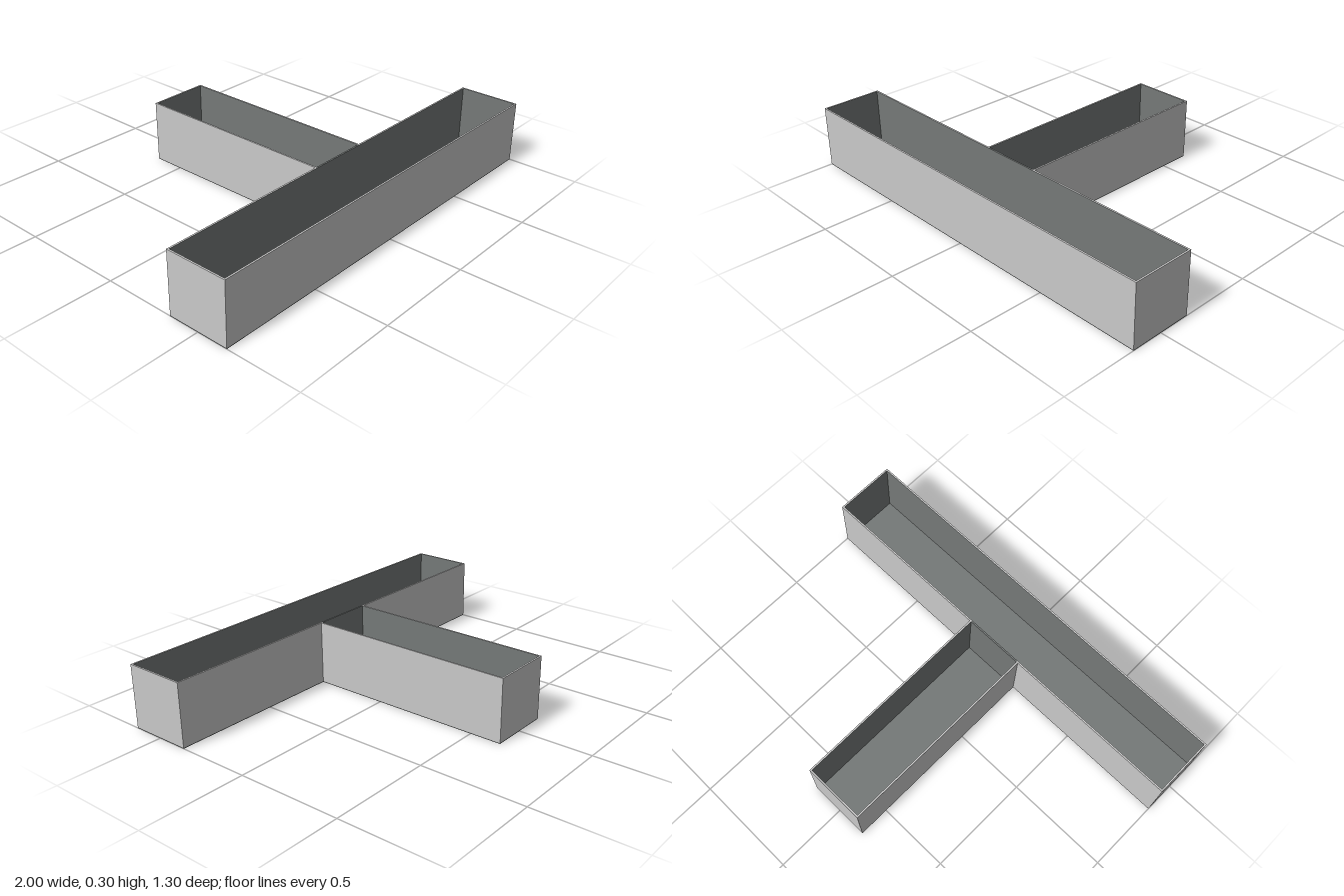
import * as THREE from 'three';

export function createModel() {
  const model = new THREE.Group();
  const shell = new THREE.MeshStandardMaterial({ color: 0xc9c9c9 });
  shell.name = 'light grey shell';
  const liner = new THREE.MeshStandardMaterial({ color: 0x757978 });
  liner.name = 'dark grey liner';

  const H = 0.3, T = 0.008, BASE = 0.004; // height, wall and floor thickness
  const HALF = 0.15;                      // half width of the stem trough
  const BACK = -0.65, JOIN = 0.35, FRONT = 0.65;

  const box = (name, x0, x1, y0, y1, z0, z1, material) => {
    const mesh = new THREE.Mesh(new THREE.BoxGeometry(x1 - x0, y1 - y0, z1 - z0), material);
    mesh.position.set((x0 + x1) / 2, (y0 + y1) / 2, (z0 + z1) / 2);
    mesh.name = name;
    model.add(mesh);
  };

  // Wall with a dark lining on its inner side (box sides: +x -x +y -y +z -z)
  const sides = ['+x', '-x', '+y', '-y', '+z', '-z'];
  const wall = (name, x0, x1, z0, z1, inner) =>
    box(name, x0, x1, BASE, H, z0, z1, sides.map((s) => (s === inner ? liner : shell)));

  // Floors
  box('crossbarFloor', -1, 1, 0, BASE, JOIN, FRONT, liner);
  box('stemFloor', -HALF, HALF, 0, BASE, BACK, JOIN, liner);

  // Long walls, and the divider between the two troughs
  wall('frontWall', -1, 1, FRONT - T, FRONT, '-z');
  wall('stemEndWall', -HALF, HALF, BACK, BACK + T, '+z');
  box('divider', -HALF + T, HALF - T, BASE, H, JOIN, JOIN + T, liner);

  // Mirrored walls
  for (const s of [-1, 1]) {
    const name = s > 0 ? 'left' : 'right';
    const inner = s > 0 ? '-x' : '+x';
    const span = (a, b) => (s > 0 ? [a, b] : [-b, -a]);
    wall(name + 'EndWall', ...span(1 - T, 1), JOIN + T, FRONT - T, inner);
    wall(name + 'BackWall', ...span(HALF - T, 1), JOIN, JOIN + T, '+z');
    wall(name + 'StemWall', ...span(HALF - T, HALF), BACK + T, JOIN, inner);
  }
  return model;
}
